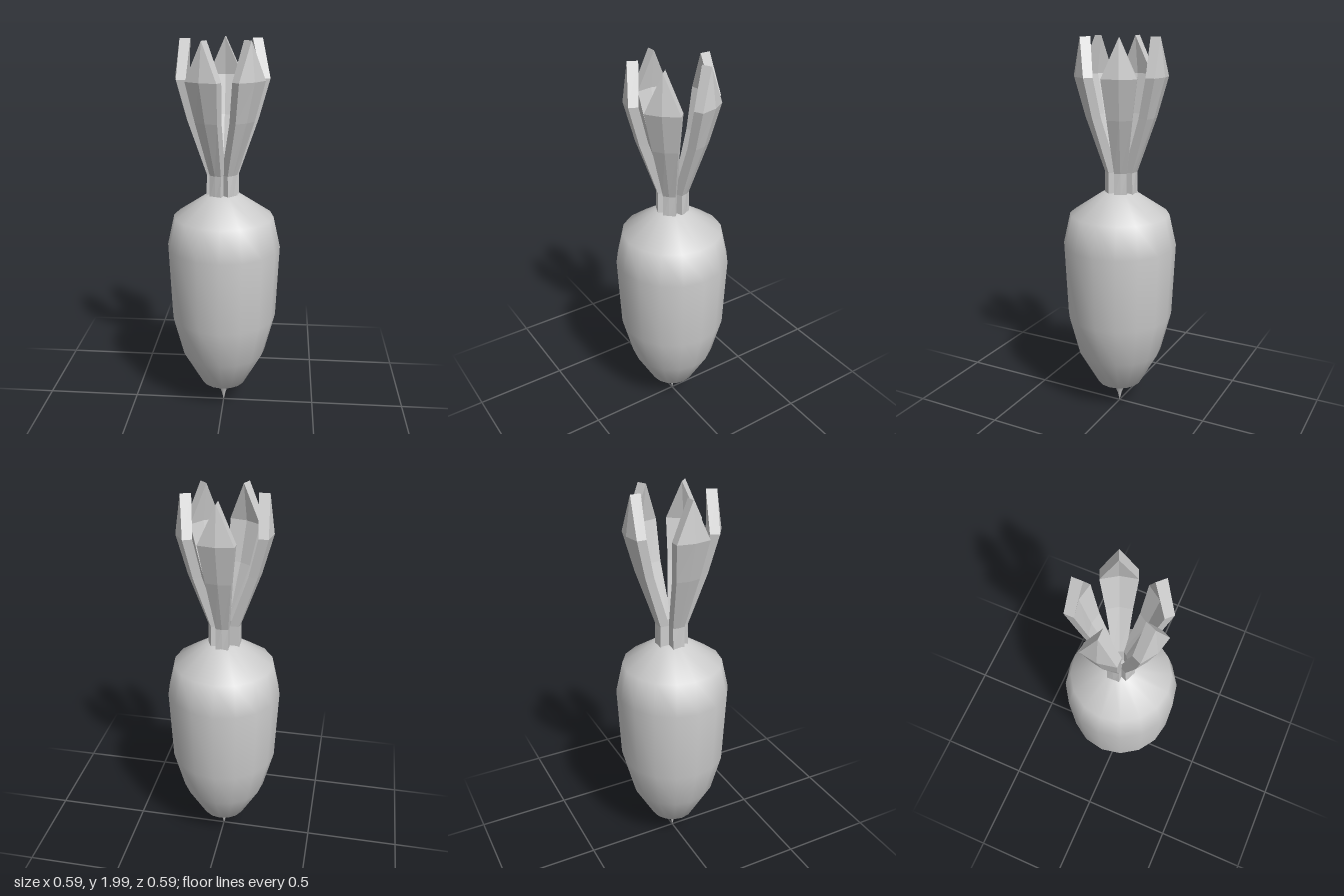
import * as THREE from 'three';

// Leaf cross-sections: height, half width, inner radius, outer radius, mid-rib bulge
const LEAF_ROWS = [
  [1.2, 0.032, 0.03, 0.08, 0],
  [1.33, 0.032, 0.03, 0.078, 0.004],
  [1.61, 0.062, 0.125, 0.17, 0.012],
  [1.81, 0.086, 0.172, 0.22, 0.016],
  [2.0, 0, 0.157, 0.21, 0],
];

// Thick, slightly cupped leaf that leans outward along +z
function leafGeometry() {
  const positions = [];
  const index = [];
  for (const [y, w, inner, outer, rib] of LEAF_ROWS) {
    positions.push(
      -w, y, outer, 0, y, outer + rib, w, y, outer,
      w, y, inner, 0, y, inner + rib, -w, y, inner,
    );
  }
  for (let r = 0; r < LEAF_ROWS.length - 1; r++) {
    for (let i = 0; i < 6; i++) {
      const a = r * 6 + i;
      const b = r * 6 + ((i + 1) % 6);
      index.push(a, b, b + 6, a, b + 6, a + 6);
    }
  }
  for (let i = 1; i < 5; i++) index.push(0, i + 1, i); // base cap
  const geometry = new THREE.BufferGeometry();
  geometry.setAttribute('position', new THREE.Float32BufferAttribute(positions, 3));
  geometry.setIndex(index);
  const flat = geometry.toNonIndexed();
  flat.computeVertexNormals();
  return flat;
}

export function createModel() {
  const model = new THREE.Group();
  const grey = new THREE.MeshStandardMaterial({ color: 0xcccccc });
  grey.name = 'grey';

  // Root: sixteen-sided smooth bulb with a thin tail
  const profile = [
    [0, 0.01], [0.012, 0.06], [0.04, 0.13], [0.12, 0.145], [0.225, 0.335],
    [0.28, 0.55], [0.297, 0.94], [0.26, 1.105], [0.085, 1.222], [0, 1.225],
  ].map(([r, y]) => new THREE.Vector2(r, y));
  const root = new THREE.Mesh(new THREE.LatheGeometry(profile, 16), grey);
  root.name = 'root';
  model.add(root);

  // Leaves: five around the crown
  const leaves = new THREE.Group();
  leaves.name = 'leaves';
  leaves.position.set(-0.006, 0, -0.006);
  const leaf = leafGeometry();
  for (const degrees of [180, -90, -23.5, 45, 113.5]) {
    const mesh = new THREE.Mesh(leaf, grey);
    mesh.name = 'leaf';
    mesh.rotation.y = Math.PI / 2 - THREE.MathUtils.degToRad(degrees);
    leaves.add(mesh);
  }
  model.add(leaves);
  return model;
}
